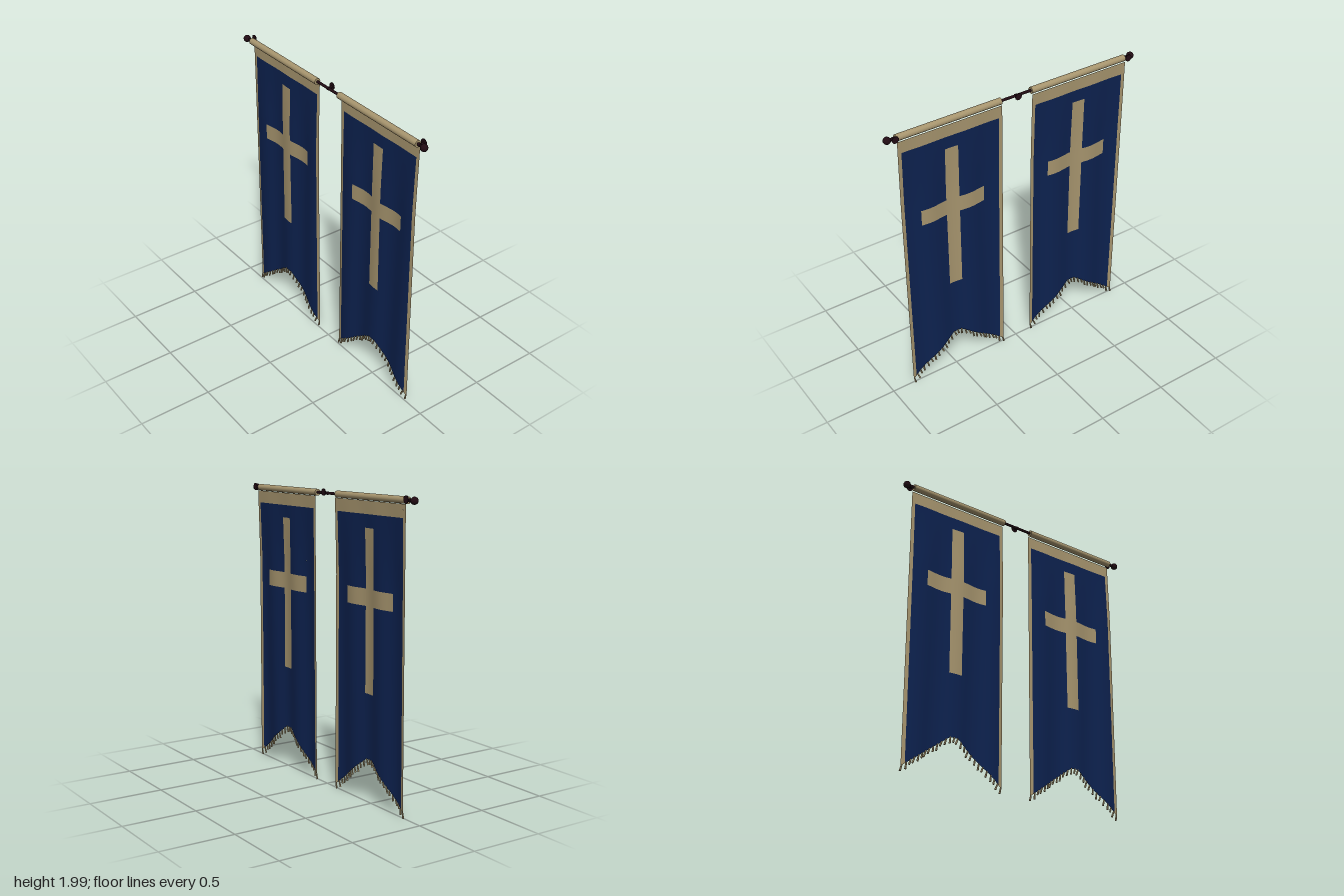
import * as THREE from 'three';

const gold = new THREE.MeshStandardMaterial({ name: 'tan trim', color: 0xa8966f, side: THREE.DoubleSide });
const blue = new THREE.MeshStandardMaterial({ name: 'navy cloth', color: 0x0d2250, side: THREE.DoubleSide });
const iron = new THREE.MeshStandardMaterial({ name: 'dark iron', color: 0x220c14 });

const ROD_Y = 1.97, TOP = 1.948, HALF = 0.3675;

// Gentle folds that grow below the rod
function foldZ(x, y) {
  const t = (TOP - y) / 1.9;
  const k = 0.007 * Math.min(1, t * 4) + 0.002 * t;
  return -0.018 + k * (1 + Math.sin(x * 22 + 0.6 + t));
}

// Swallowtail lower edge
const hem = (x) => Math.min(0.3, 0.3 - 0.75 * (Math.abs(x) - 0.03));

function mesh(name, geometry, material, x = 0, y = 0, z = 0) {
  const m = new THREE.Mesh(geometry, material);
  m.name = name;
  m.position.set(x, y, z);
  return m;
}

// A piece of the draped cloth; no lower value means it runs to the hem
function clothPiece(name, x0, x1, top, bottom, material) {
  const nx = Math.max(2, Math.ceil((x1 - x0) / 0.015));
  const ny = Math.max(2, Math.ceil((top - (bottom ?? 0.1)) / 0.06));
  const g = new THREE.PlaneGeometry(1, 1, nx, ny);
  const p = g.attributes.position;
  for (let i = 0; i < p.count; i++) {
    const x = x0 + (p.getX(i) + 0.5) * (x1 - x0);
    const low = bottom ?? hem(x);
    const y = low + (p.getY(i) + 0.5) * (top - low);
    p.setXYZ(i, x, y, foldZ(x, y));
  }
  g.computeVertexNormals();
  return mesh(name, g, material);
}

function createBanner() {
  const banner = new THREE.Group();
  banner.name = 'banner';

  // Rod sleeve
  const sleeve = new THREE.CylinderGeometry(0.022, 0.022, HALF * 2, 20).rotateZ(Math.PI / 2);
  banner.add(mesh('sleeve', sleeve, gold, 0, ROD_Y, 0));

  // Border, field and cross, side by side
  const inner = 0.342, fieldTop = 1.865, arm = 0.233, stem = 0.046;
  const armTop = 1.4, armLow = 1.29, crossTop = 1.78, crossLow = 0.73;
  banner.add(
    clothPiece('topBorder', -inner, inner, TOP, fieldTop, gold),
    clothPiece('fieldAboveCross', -stem, stem, fieldTop, crossTop, blue),
    clothPiece('crossStem', -stem, stem, crossTop, crossLow, gold),
    clothPiece('fieldBelowCross', -stem, stem, crossLow, null, blue),
  );
  for (const s of [-1, 1]) {
    const piece = (name, a, b, top, low, mat) =>
      banner.add(clothPiece(name, Math.min(s * a, s * b), Math.max(s * a, s * b), top, low, mat));
    piece('sideBorder', inner, HALF, TOP, null, gold);
    piece('outerField', arm, inner, fieldTop, null, blue);
    piece('upperField', stem, arm, fieldTop, armTop, blue);
    piece('crossArm', stem, arm, armTop, armLow, gold);
    piece('lowerField', stem, arm, armLow, null, blue);
  }

  // Fringe threads, leaning a little
  const count = 27;
  for (let i = 0; i < count; i++) {
    const x = -0.361 + (0.722 * i) / (count - 1);
    const length = 0.04 + 0.006 * Math.sin(i * 2.3);
    const g = new THREE.CylinderGeometry(0.005, 0.0065, length, 6).translate(0, -length / 2, 0);
    const thread = mesh('fringeThread', g, gold, x, hem(x) + 0.003, foldZ(x, hem(x)));
    thread.rotation.z = -0.25 + 0.15 * Math.sin(i * 1.7);
    banner.add(thread);
  }
  return banner;
}

// Wall bracket: round plate, stem and collar on the rod
function createBracket(x) {
  const bracket = new THREE.Group();
  bracket.name = 'bracket';
  const plate = new THREE.CylinderGeometry(0.023, 0.023, 0.005, 20).rotateX(Math.PI / 2);
  const stem = new THREE.CylinderGeometry(0.007, 0.007, 0.032, 10).rotateX(Math.PI / 2);
  const collar = new THREE.CylinderGeometry(0.011, 0.011, 0.014, 14).rotateZ(Math.PI / 2);
  bracket.add(
    mesh('wallPlate', plate, iron, 0, 0.007, -0.03),
    mesh('bracketStem', stem, iron, 0, 0.003, -0.015),
    mesh('collar', collar, iron),
  );
  bracket.position.set(x, ROD_Y, 0);
  return bracket;
}

export function createModel() {
  const model = new THREE.Group();
  model.name = 'hangingBanners';

  // Rod with ball ends
  const rod = new THREE.CylinderGeometry(0.009, 0.009, 1.8, 14).rotateZ(Math.PI / 2);
  model.add(mesh('rod', rod, iron, 0, ROD_Y, 0));
  for (const s of [-1, 1]) {
    model.add(mesh('finial', new THREE.SphereGeometry(0.024, 20, 14), iron, s * 0.902, ROD_Y, 0.002));
    const banner = createBanner();
    banner.position.x = s * 0.48;
    model.add(banner);
  }
  for (const x of [-0.863, 0, 0.863]) model.add(createBracket(x));
  return model;
}
